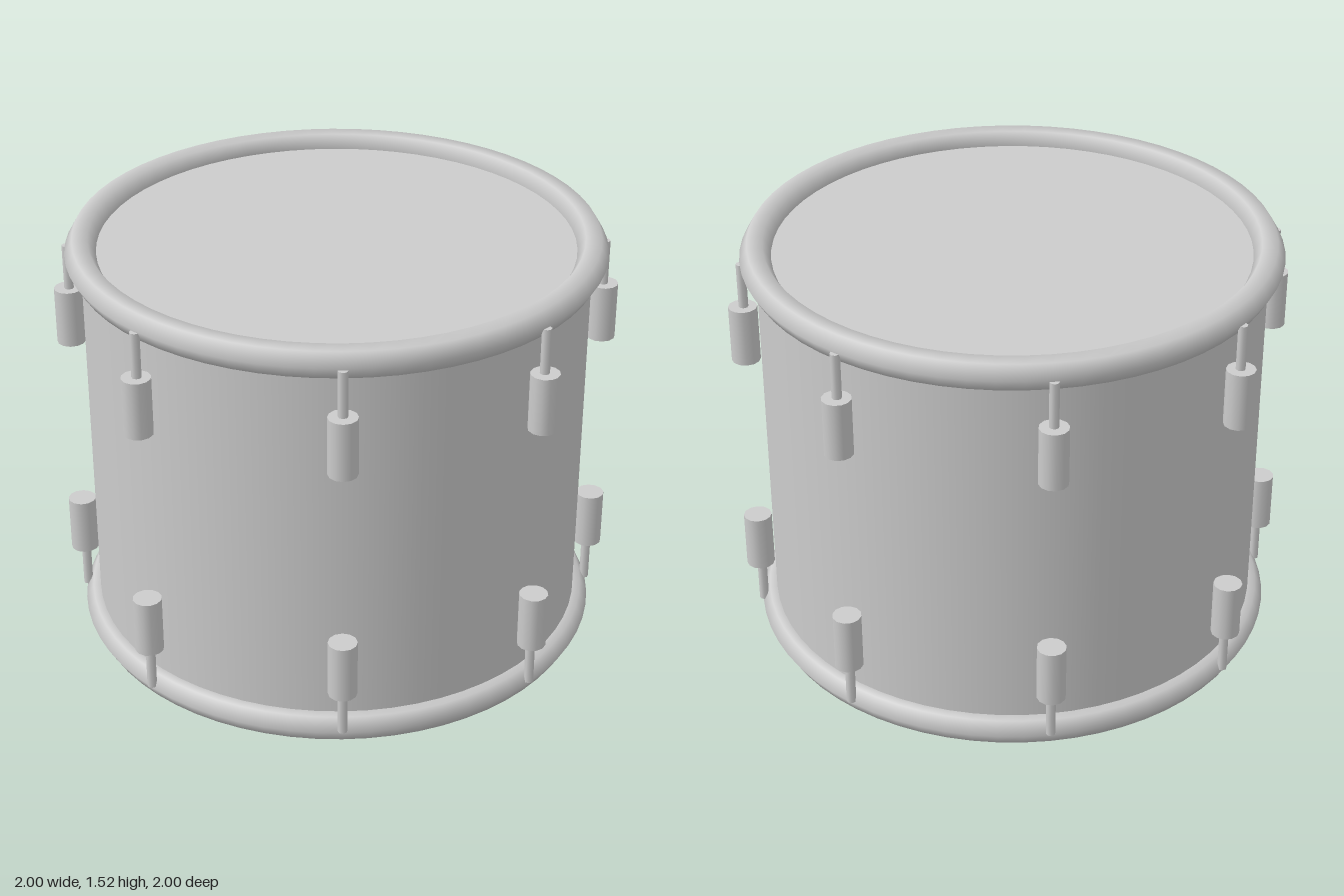
import * as THREE from 'three';

export function createModel() {
  const drum = new THREE.Group();
  drum.name = 'drum';
  const grey = new THREE.MeshStandardMaterial({ color: 0xcccccc });
  grey.name = 'grey';

  const MID = 0.76;        // half of the drum's height
  const LUG_RADIUS = 0.949; // distance of lugs from the axis

  const add = (parent, name, geometry, x, y, z) => {
    const mesh = new THREE.Mesh(geometry, grey);
    mesh.name = name;
    mesh.position.set(x, y, z);
    parent.add(mesh);
    return mesh;
  };

  // Shell
  add(drum, 'shell', new THREE.CylinderGeometry(0.895, 0.895, 1.32, 64), 0, MID, 0);

  // Shared parts for both ends
  const hoopGeo = new THREE.TorusGeometry(0.895, 0.055, 6, 64).rotateX(Math.PI / 2);
  const headGeo = new THREE.CylinderGeometry(0.865, 0.865, 0.06, 64);
  const lugGeo = new THREE.CylinderGeometry(0.051, 0.051, 0.21, 12);
  const rodGeo = new THREE.CylinderGeometry(0.017, 0.017, 0.18, 8);

  for (const side of [1, -1]) {
    const end = new THREE.Group();
    end.name = side > 0 ? 'topEnd' : 'bottomEnd';
    drum.add(end);

    // Hoop and drumhead
    add(end, 'hoop', hoopGeo, 0, MID + side * 0.712, 0);
    add(end, 'head', headGeo, 0, MID + side * 0.68, 0);

    // Eight lugs, each with a tension rod reaching the hoop
    for (let i = 0; i < 8; i++) {
      const tensioner = new THREE.Group();
      tensioner.name = 'tensioner';
      tensioner.rotation.y = (i * Math.PI) / 4;
      end.add(tensioner);
      add(tensioner, 'lug', lugGeo, LUG_RADIUS, MID + side * 0.435, 0);
      add(tensioner, 'rod', rodGeo, LUG_RADIUS - 0.003, MID + side * 0.615, 0);
    }
  }
  return drum;
}
